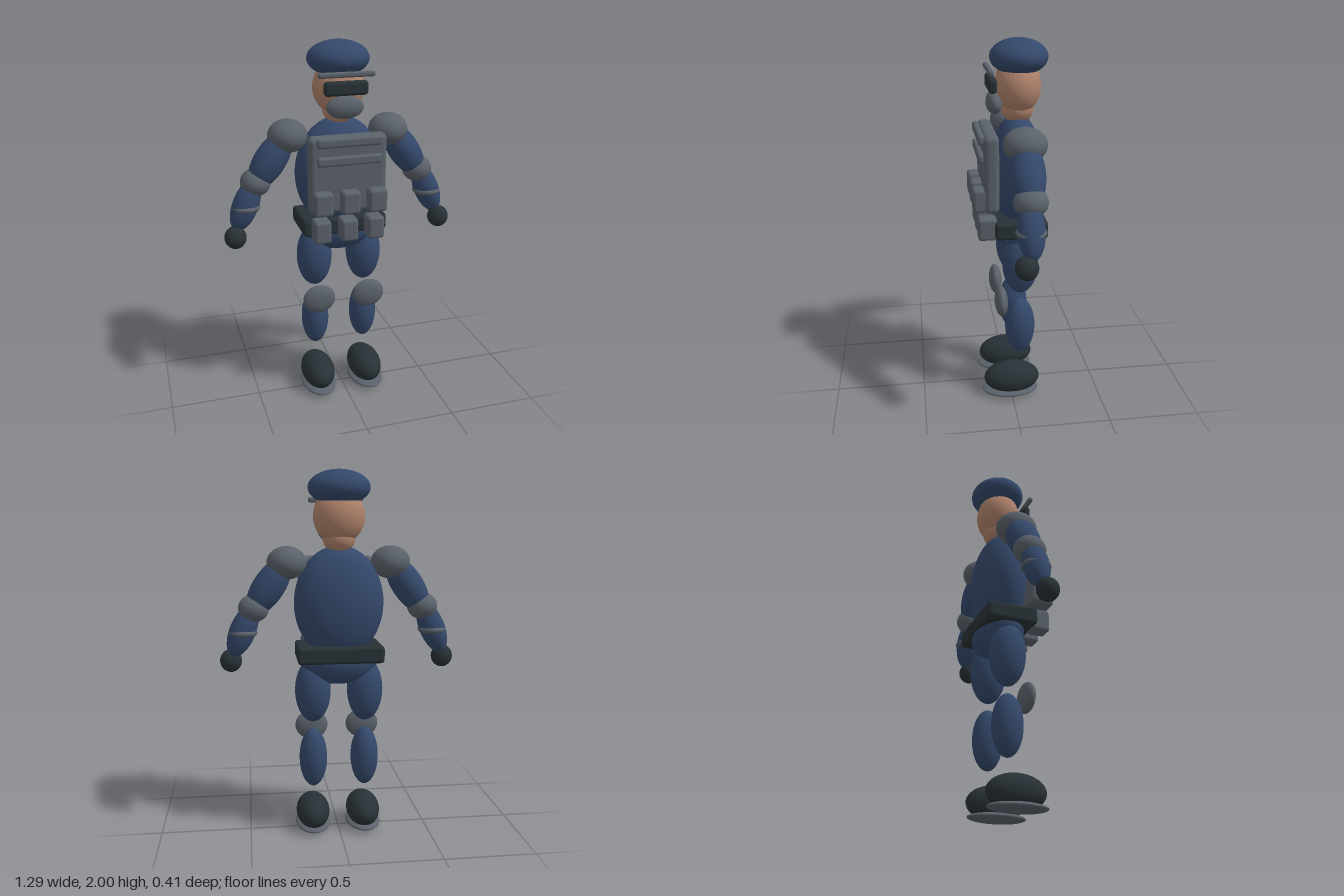
import * as THREE from 'three';
import { RoundedBoxGeometry } from 'three/addons/geometries/RoundedBoxGeometry.js';

const mat = (name, color) => {
  const m = new THREE.MeshStandardMaterial({ color });
  m.name = name;
  return m;
};

export function createModel() {
  const navy = mat('navy cloth', 0x34486a);
  const grey = mat('grey armour', 0x5a616a);
  const dark = mat('dark rubber', 0x283136);
  const skin = mat('skin', 0xae826b);

  const model = new THREE.Group();
  model.name = 'officer';
  const sphere = new THREE.SphereGeometry(1, 40, 28);

  // Ellipsoid from centre, radii and an optional tilt about z
  const ball = (parent, name, m, [x, y, z], [rx, ry, rz], tilt = 0) => {
    const mesh = new THREE.Mesh(sphere, m);
    mesh.name = name;
    mesh.position.set(x, y, z);
    mesh.scale.set(rx, ry, rz);
    mesh.rotation.z = tilt;
    parent.add(mesh);
  };

  // Rounded block from centre, size and edge radius
  const block = (parent, name, m, [x, y, z], [w, h, d], r) => {
    const mesh = new THREE.Mesh(new RoundedBoxGeometry(w, h, d, 4, r), m);
    mesh.name = name;
    mesh.position.set(x, y, z);
    parent.add(mesh);
  };

  const part = (name) => {
    const g = new THREE.Group();
    g.name = name;
    model.add(g);
    return g;
  };

  // Head, cap and face gear
  const head = part('headGroup');
  ball(head, 'neck', skin, [0, 1.645, -0.05], [0.087, 0.08, 0.087]);
  ball(head, 'face', skin, [0, 1.76, -0.052], [0.138, 0.148, 0.122]);
  ball(head, 'cap', navy, [0, 1.907, -0.057], [0.165, 0.093, 0.151]);
  block(head, 'capPeak', grey, [0, 1.845, 0.1], [0.3, 0.028, 0.028], 0.011);
  block(head, 'goggles', dark, [0, 1.775, 0.088], [0.232, 0.074, 0.044], 0.018);
  ball(head, 'mask', grey, [0, 1.675, 0.072], [0.1, 0.06, 0.043]);

  // Torso, pelvis and belt
  const body = part('body');
  ball(body, 'torso', navy, [0, 1.3, -0.05], [0.243, 0.307, 0.142]);
  ball(body, 'pelvis', navy, [0, 0.985, -0.05], [0.21, 0.13, 0.13]);
  block(body, 'belt', dark, [0, 1.033, -0.047], [0.464, 0.092, 0.28], 0.018);

  // Vest with straps and two rows of pouches
  const vest = part('vestGroup');
  block(vest, 'vest', grey, [0, 1.335, 0.107], [0.42, 0.415, 0.08], 0.03);
  for (const y of [1.515, 1.418]) {
    block(vest, 'chestStrap', grey, [0, y, 0.157], [0.348, 0.05, 0.034], 0.014);
  }
  for (const x of [-0.147, 0, 0.147]) {
    block(vest, 'vestPouch', grey, [x, 1.197, 0.168], [0.1, 0.125, 0.076], 0.018);
    block(vest, 'beltPouch', grey, [x, 1.035, 0.13], [0.092, 0.124, 0.1], 0.018);
  }

  for (const s of [1, -1]) {
    const side = s > 0 ? 'left' : 'right';

    // Arm, angled outwards
    const arm = part(side + 'Arm');
    ball(arm, 'shoulderPad', grey, [s * 0.279, 1.517, -0.05], [0.106, 0.088, 0.113]);
    ball(arm, 'upperArm', navy, [s * 0.375, 1.393, -0.05], [0.085, 0.178, 0.088], s * 0.6);
    ball(arm, 'elbowPad', grey, [s * 0.458, 1.278, -0.052], [0.082, 0.074, 0.087]);
    ball(arm, 'forearm', navy, [s * 0.518, 1.157, -0.045], [0.07, 0.15, 0.07], s * 0.4);
    ball(arm, 'forearmPad', grey, [s * 0.517, 1.147, -0.045], [0.077, 0.032, 0.078]);
    ball(arm, 'hand', dark, [s * 0.585, 0.99, -0.015], [0.059, 0.062, 0.059]);

    // Leg
    const leg = part(side + 'Leg');
    ball(leg, 'thigh', navy, [s * 0.144, 0.82, -0.05], [0.098, 0.177, 0.098]);
    ball(leg, 'kneePad', grey, [s * 0.144, 0.592, 0.055], [0.092, 0.083, 0.036]);
    ball(leg, 'shin', navy, [s * 0.144, 0.434, -0.05], [0.077, 0.167, 0.083]);
    ball(leg, 'boot', dark, [s * 0.144, 0.1, -0.004], [0.094, 0.093, 0.158]);
    ball(leg, 'sole', grey, [s * 0.144, 0.026, 0.005], [0.098, 0.025, 0.16]);
  }

  return model;
}
